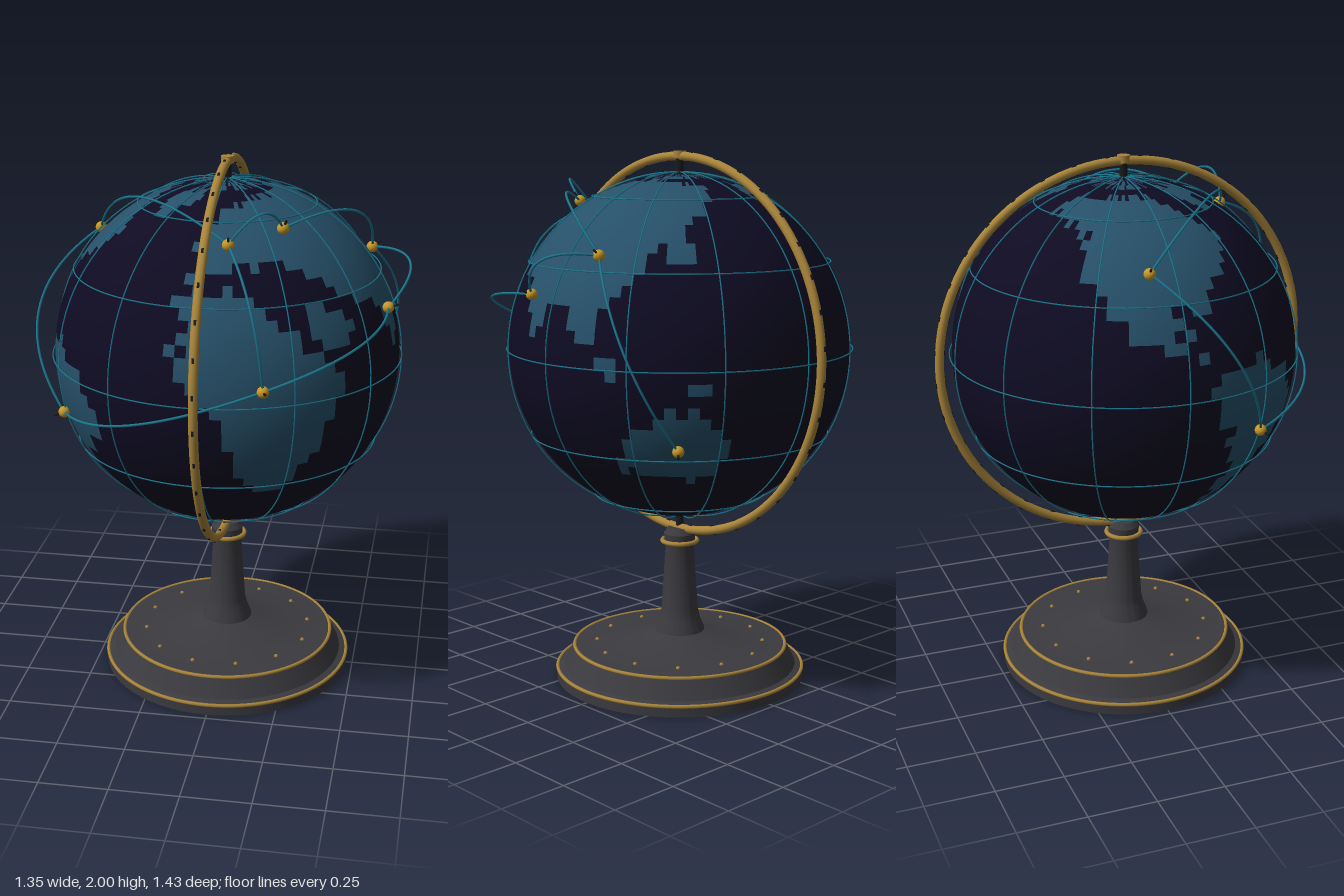
import * as THREE from 'three';
import { toCreasedNormals } from 'three/addons/utils/BufferGeometryUtils.js';

const CENTER = 1.28, R = 0.634, GRID_R = 0.643, PIN_R = 0.651;
const UP = new THREE.Vector3(0, 1, 0);

const mat = (name, color, side = THREE.FrontSide) => {
  const m = new THREE.MeshStandardMaterial({ color, side });
  m.name = name;
  return m;
};

// Rough coastlines as [longitude, latitude] corners; the grid cells and jitter make them ragged
const LANDS = [
  // Africa and Arabia
  [[-7, 36], [12, 36], [30, 20], [43, 11], [49, 9], [40, -15], [30, -33], [16, -34], [5, -4], [-7, 7]],
  [[34, 32], [57, 24], [48, 12], [40, 17]],
  // Europe and Asia
  [[-8, 37], [-4, 58], [10, 70], [100, 78], [166, 70], [150, 57], [121, 29], [105, 8], [90, 22], [80, 9], [70, 23], [40, 37], [30, 46]],
  // Eastern islands and Australia
  [[131, 32], [140, 35], [145, 44]],
  [[107, 4], [119, 4], [114, -6]],
  [[131, -1], [150, -5], [148, -11]],
  [[115, -22], [143, -11], [154, -27], [148, -39], [115, -35]],
  // Greenland, North America and South America
  [[-55, 77], [-22, 79], [-22, 70], [-45, 59]],
  [[-166, 62], [-156, 72], [-82, 74], [-56, 50], [-80, 27], [-95, 28], [-78, 8], [-110, 24], [-125, 40], [-132, 56]],
  [[-79, 9], [-60, 10], [-36, -8], [-52, -33], [-68, -55], [-71, -18], [-81, -5]],
];

function seeded(seed) {
  return () => (seed = (seed * 16807) % 2147483647) / 2147483647;
}

function inside(x, y, poly) {
  let hit = false;
  poly.forEach(([ax, ay], i) => {
    const [bx, by] = poly[(i + 1) % poly.length];
    if ((ay > y) !== (by > y) && x < ax + ((bx - ax) * (y - ay)) / (by - ay)) hit = !hit;
  });
  return hit;
}

// Sphere whose grid cells are sorted into ocean and land groups
function globeGeometry() {
  const nLon = 96, nLat = 48, rand = seeded(77);
  const geo = new THREE.SphereGeometry(R, nLon, nLat);
  const cells = [[], []];
  for (let j = 0; j < nLat; j++) {
    for (let i = 0; i < nLon; i++) {
      const lat = 90 - ((j + 0.5) / nLat) * 180;
      let lon = ((i + 0.5) / nLon) * 360 - 90;
      if (lon > 180) lon -= 360;
      const x = lon + (rand() - 0.5) * 5, y = lat + (rand() - 0.5) * 4;
      const polar = lat < -75 || (lat > 77 && rand() < 0.5);
      const land = polar || LANDS.some((p) => inside(x, y, p));
      const a = j * (nLon + 1) + i, b = a + nLon + 1;
      const list = cells[land ? 1 : 0];
      if (j > 0) list.push(a + 1, a, b + 1);
      if (j < nLat - 1) list.push(a, b, b + 1);
    }
  }
  geo.setIndex([...cells[0], ...cells[1]]);
  geo.clearGroups();
  geo.addGroup(0, cells[0].length, 0);
  geo.addGroup(cells[0].length, cells[1].length, 1);
  return geo;
}

export function createModel() {
  const ocean = mat('ocean navy', 0x0e0b22);
  const land = mat('land blue', 0x265069);
  const line = mat('line teal', 0x1b7890);
  const brass = mat('brass', 0xa9853a);
  const gold = mat('pin gold', 0xc79828);
  const iron = mat('dark iron', 0x3b3a3f, THREE.DoubleSide);
  const black = mat('black metal', 0x19191c);

  const model = new THREE.Group();
  const add = (parent, name, geo, material, x = 0, y = 0, z = 0) => {
    const m = new THREE.Mesh(geo, material);
    m.name = name;
    m.position.set(x, y, z);
    parent.add(m);
    return m;
  };
  const hoop = (parent, name, r, tube, material, y, sides = 6) => {
    const m = add(parent, name, new THREE.TorusGeometry(r, tube, sides, 96), material, 0, y, 0);
    m.rotation.x = Math.PI / 2;
  };

  // Stand: stepped foot, column and collar
  const profile = [[0, 0], [0.475, 0], [0.475, 0.04], [0.445, 0.05], [0.41, 0.12], [0.4, 0.126], [0.24, 0.132], [0.095, 0.178],
    [0.092, 0.19], [0.078, 0.225], [0.07, 0.26], [0.055, 0.5], [0.058, 0.525], [0.06, 0.56], [0.045, 0.582], [0, 0.582]];
  const lathe = new THREE.LatheGeometry(profile.map(([x, y]) => new THREE.Vector2(x, y)), 64);
  add(model, 'stand', toCreasedNormals(lathe, 0.5), iron);
  hoop(model, 'lowerTrim', 0.472, 0.007, brass, 0.04);
  hoop(model, 'upperTrim', 0.406, 0.007, brass, 0.123);
  hoop(model, 'collarTrim', 0.066, 0.009, brass, 0.53, 8);
  for (let i = 0; i < 12; i++) {
    const a = ((i + 0.5) / 12) * Math.PI * 2;
    add(model, 'rivet', new THREE.SphereGeometry(0.008, 8, 6), brass, 0.32 * Math.sin(a), 0.13, 0.32 * Math.cos(a));
  }

  // Everything that shares the globe's centre
  const globe = new THREE.Group();
  globe.name = 'globe';
  globe.position.y = CENTER;
  model.add(globe);
  add(globe, 'globeSurface', globeGeometry(), [ocean, land]);
  for (const s of [-1, 1]) {
    add(globe, 'axlePin', new THREE.CylinderGeometry(0.014, 0.014, 0.08, 16), black, 0, s * 0.665, 0);
  }

  // Parallels and meridians
  for (const deg of [-60, -30, 0, 30, 60]) {
    const a = THREE.MathUtils.degToRad(deg);
    hoop(globe, 'parallel', GRID_R * Math.cos(a), 0.0026, line, GRID_R * Math.sin(a), 5);
  }
  for (let i = 0; i < 6; i++) {
    add(globe, 'meridian', new THREE.TorusGeometry(GRID_R, 0.0026, 5, 96), line).rotation.y = (i * Math.PI) / 6;
  }

  // Brass ring with graduation ticks
  const ring = new THREE.Group();
  ring.name = 'meridianRing';
  ring.rotation.y = Math.PI / 2;
  globe.add(ring);
  add(ring, 'ringBand', new THREE.TorusGeometry(0.7, 0.0165, 12, 128), brass);
  for (let i = 0; i < 36; i++) {
    const a = ((i + 0.5) / 36) * Math.PI * 2;
    add(ring, 'tick', new THREE.BoxGeometry(0.037, 0.018, 0.008), black, 0.7 * Math.cos(a), 0.7 * Math.sin(a), 0).rotation.z = a;
  }
  add(globe, 'ringCap', new THREE.CylinderGeometry(0.023, 0.023, 0.026, 16), brass, 0, 0.707, 0);

  // City pins
  const pins = {
    a: [-0.55, -0.17, 0.31], b: [0.22, 0.06, 0.61], c: [0.6, 0.23, 0.13], d: [0.52, 0.38, -0.14],
    e: [0.24, 0.54, 0.285], f: [0.07, 0.505, 0.41], g: [-0.49, 0.42, -0.09], h: [0.41, -0.28, -0.42],
  };
  for (const key in pins) {
    const dir = new THREE.Vector3(...pins[key]).normalize();
    pins[key] = dir.clone().multiplyScalar(PIN_R);
    const pin = new THREE.Group();
    pin.name = 'pin';
    pin.position.copy(pins[key]);
    pin.quaternion.setFromUnitVectors(UP, dir);
    globe.add(pin);
    add(pin, 'pinHead', new THREE.SphereGeometry(0.021, 16, 12), gold);
    add(pin, 'pinNeedle', new THREE.CylinderGeometry(0.004, 0.004, 0.04, 8), black, 0, 0.018, 0);
  }

  // Routes arching between pins
  for (const [p, q] of ['ab', 'ag', 'bc', 'cd', 'dh', 'ed', 'fe', 'gf', 'bf']) {
    const mid = pins[p].clone().add(pins[q]).setLength(0.87);
    const curve = new THREE.QuadraticBezierCurve3(pins[p], mid, pins[q]);
    add(globe, 'routeArc', new THREE.TubeGeometry(curve, 40, 0.0045, 6), line);
  }
  return model;
}
